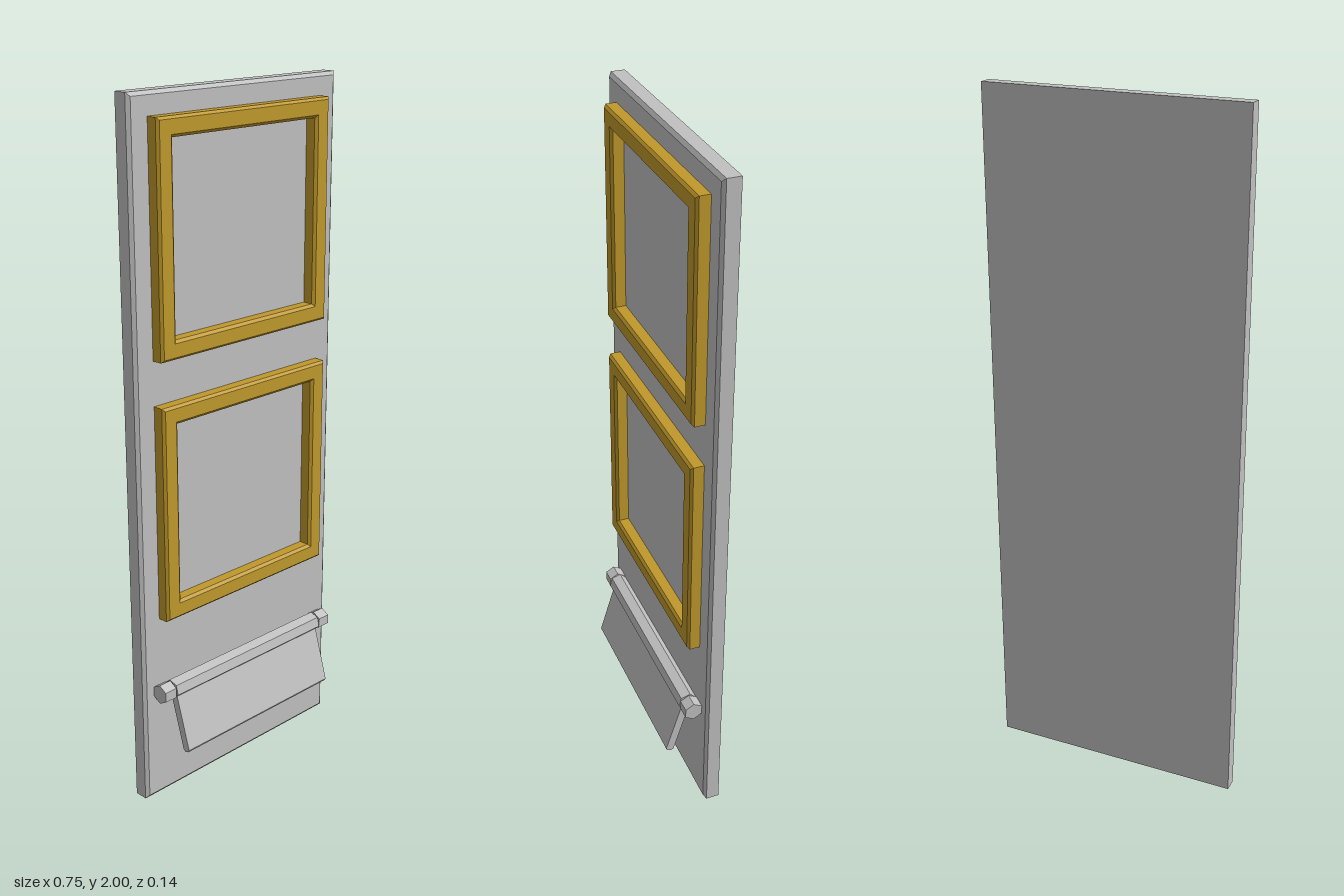
import * as THREE from 'three';

const steel = new THREE.MeshStandardMaterial({ color: 0xc0c0c0 });
steel.name = 'steel grey';
const gold = new THREE.MeshStandardMaterial({ color: 0xc0992b });
gold.name = 'frame gold';

const BACK = -0.07, FRONT = -0.023;

// Runs a profile of [inset, z] points around a rectangle with mitred corners
function mitredBand(w, h, profile) {
  const corners = [[-1, -1], [1, -1], [1, 1], [-1, 1]];
  const at = ([sx, sy], [inset, z]) => [sx * (w / 2 - inset), sy * (h / 2 - inset), z];
  const pos = [];
  for (let side = 0; side < 4; side++) {
    const c0 = corners[side], c1 = corners[(side + 1) % 4];
    for (let i = 0; i < profile.length - 1; i++) {
      const a = at(c0, profile[i]), b = at(c1, profile[i]);
      const c = at(c1, profile[i + 1]), d = at(c0, profile[i + 1]);
      pos.push(...a, ...b, ...c, ...a, ...c, ...d);
    }
  }
  const g = new THREE.BufferGeometry();
  g.setAttribute('position', new THREE.Float32BufferAttribute(pos, 3));
  g.computeVertexNormals();
  return g;
}

// Six-sided bar lying along x, turned by the given angle
function hexBar(length, turn) {
  const g = new THREE.CylinderGeometry(0.029, 0.029, length, 6, 1, false, turn).toNonIndexed();
  g.rotateZ(Math.PI / 2);
  g.computeVertexNormals();
  return g;
}

export function createModel() {
  const model = new THREE.Group();
  const add = (parent, name, geometry, material, x = 0, y = 0, z = 0) => {
    const mesh = new THREE.Mesh(geometry, material);
    mesh.name = name;
    mesh.position.set(x, y, z);
    parent.add(mesh);
    return mesh;
  };

  // Back panel with a chamfered front edge
  const panel = new THREE.Group();
  panel.name = 'panel';
  model.add(panel);
  const W = 0.748, H = 2, C = 0.01;
  add(panel, 'panelEdge', mitredBand(W, H, [[0, BACK], [0, -0.031], [C, FRONT]]), steel, 0, 1, 0);
  add(panel, 'panelFront', new THREE.PlaneGeometry(W - 2 * C, H - 2 * C), steel, 0, 1, FRONT);
  add(panel, 'panelBack', new THREE.PlaneGeometry(W, H).rotateY(Math.PI), steel, 0, 1, BACK);

  // Two square frames with chamfered inner and outer edges
  const frameProfile = [[0, FRONT], [0, 0.007], [0.007, 0.014], [0.045, 0.014], [0.053, 0.007], [0.053, FRONT]];
  const frame = mitredBand(0.624, 0.624, frameProfile);
  add(model, 'upperFrame', frame, gold, 0, 1.627, 0);
  add(model, 'lowerFrame', frame, gold, 0, 0.878, 0);

  // Flap hinge: fixed end knuckles and a middle bar that turns with the flap
  const hingeY = 0.344, hingeZ = 0.002, tilt = 0.29;
  for (const [name, s] of [['leftKnuckle', 1], ['rightKnuckle', -1]]) {
    add(model, name, hexBar(0.04, Math.PI / 2), steel, s * 0.318, hingeY, hingeZ);
  }
  add(model, 'hingeBar', hexBar(0.588, -tilt), steel, 0, hingeY, hingeZ);

  // Hanging flap with a chamfered lower edge, drawn in its side profile
  const T = 0.012, L = 0.193, K = 0.006;
  const side = new THREE.Shape([[-T, 0], [-T, -L + K], [-T + K, -L], [T - K, -L], [T, -L + K], [T, 0]]
    .map(([x, y]) => new THREE.Vector2(x, y)));
  const flapGeo = new THREE.ExtrudeGeometry(side, { depth: 0.578, bevelEnabled: false });
  flapGeo.translate(0, 0, -0.289).rotateY(-Math.PI / 2);
  add(model, 'flap', flapGeo, steel, 0, hingeY, hingeZ).rotation.x = -tilt;

  return model;
}
